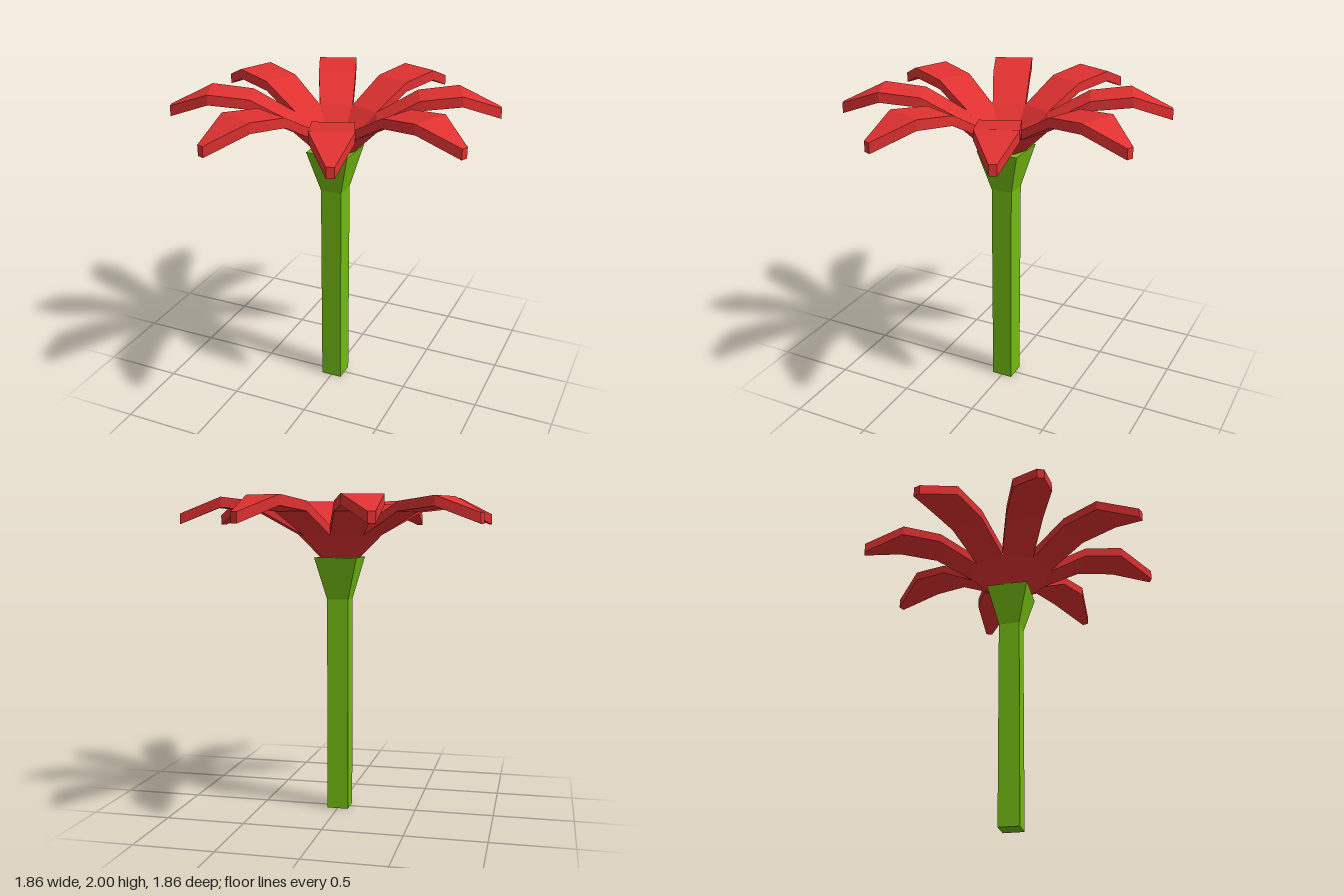
import * as THREE from 'three';

const red = new THREE.MeshStandardMaterial({ color: 0xe03131 });
red.name = 'petalRed';
const green = new THREE.MeshStandardMaterial({ color: 0x73ba12 });
green.name = 'stemGreen';
const yellow = new THREE.MeshStandardMaterial({ color: 0xddcf58 });
yellow.name = 'centreYellow';

// Faceted normals
function faceted(geometry) {
  const flat = geometry.index ? geometry.toNonIndexed() : geometry;
  flat.computeVertexNormals();
  return flat;
}

// Square column given by half-widths at its top and bottom
function squareColumn(name, halfTop, halfBottom, y0, y1) {
  const geo = new THREE.CylinderGeometry(halfTop * Math.SQRT2, halfBottom * Math.SQRT2, y1 - y0, 4);
  geo.rotateY(Math.PI / 4);
  geo.translate(0, (y0 + y1) / 2, 0);
  const mesh = new THREE.Mesh(faceted(geo), green);
  mesh.name = name;
  return mesh;
}

// Petal along +z: cross-sections of [distance, half-width, bottom y, top y]
function petalGeometry() {
  const rings = [
    [0.12, 0.0497, 1.63, 1.69],
    [0.25, 0.1035, 1.77, 1.83],
    [0.50, 0.119, 1.91, 1.97],
    [0.75, 0.123, 1.937, 2.0],
    [0.995, 0.0224, 1.836, 1.9],
  ].map(([r, w, lo, hi]) => [[-w, lo, r], [w, lo, r], [w, hi, r], [-w, hi, r]]);
  const pos = [];
  const quad = (a, b, c, d) => pos.push(...a, ...b, ...c, ...a, ...c, ...d);
  for (let i = 0; i < rings.length - 1; i++) {
    const a = rings[i], b = rings[i + 1];
    for (let k = 0; k < 4; k++) {
      if (i === 0 && k % 2 === 1) continue; // neighbouring petals join here
      const n = (k + 1) % 4;
      quad(a[k], a[n], b[n], b[k]);
    }
  }
  quad(...rings[rings.length - 1]); // tip
  const geo = new THREE.BufferGeometry();
  geo.setAttribute('position', new THREE.Float32BufferAttribute(pos, 3));
  return faceted(geo);
}

export function createModel() {
  const flower = new THREE.Group();
  flower.name = 'flower';

  // Stem and the flared cup under the bloom
  flower.add(squareColumn('stem', 0.068, 0.068, 0, 1.365));
  flower.add(squareColumn('calyx', 0.135, 0.068, 1.365, 1.63));

  // Eight petals
  const petals = new THREE.Group();
  petals.name = 'petals';
  const geo = petalGeometry();
  for (let i = 0; i < 8; i++) {
    const petal = new THREE.Mesh(geo, red);
    petal.name = 'petal' + (i + 1);
    petal.rotation.y = (i + 0.5) * Math.PI / 4;
    petals.add(petal);
  }
  flower.add(petals);

  // Octagonal centre
  const disc = new THREE.CircleGeometry(0.13, 8);
  disc.rotateX(-Math.PI / 2);
  disc.translate(0, 1.69, 0);
  const centre = new THREE.Mesh(disc, yellow);
  centre.name = 'flowerCentre';
  flower.add(centre);

  return flower;
}
